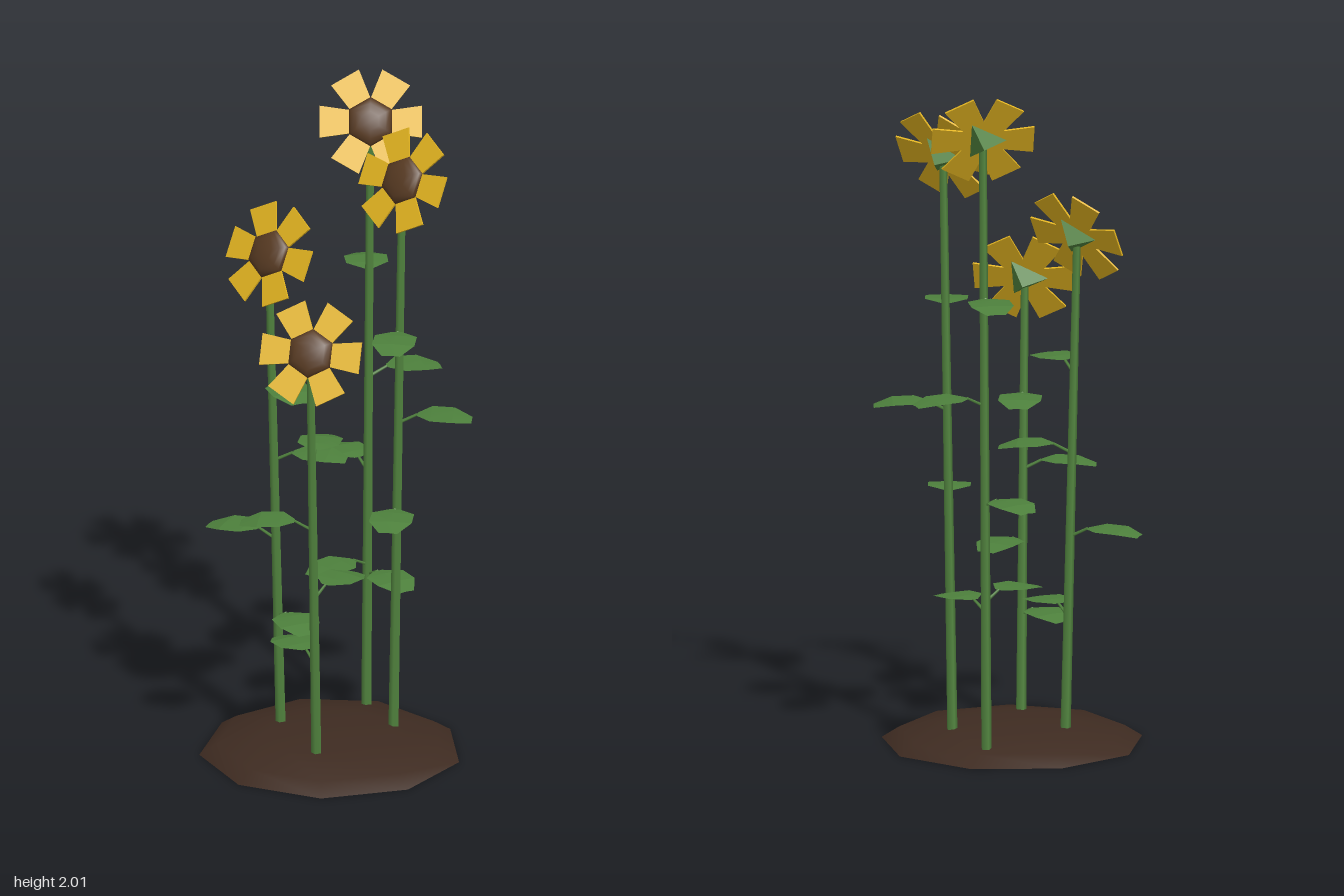
import * as THREE from 'three';
import { toCreasedNormals } from 'three/addons/utils/BufferGeometryUtils.js';

const material = (name, color, extra = {}) =>
  Object.assign(new THREE.MeshStandardMaterial({ color, ...extra }), { name });
const soil = material('soil brown', 0x3e2b21);
const seed = material('seed brown', 0x573a22);
const gold = material('petal gold', 0xe3b420);
const green = material('stem green', 0x52853f);
const leafGreen = material('leaf green', 0x4d803c, { side: THREE.DoubleSide });

function add(parent, name, geometry, mat) {
  const mesh = new THREE.Mesh(geometry, mat);
  mesh.name = name;
  parent.add(mesh);
  return mesh;
}

// Tapered rod between two points
function rod(parent, name, from, to, r0, r1, sides) {
  const dir = to.clone().sub(from);
  const mesh = add(parent, name, new THREE.CylinderGeometry(r1, r0, dir.length(), sides), green);
  mesh.position.copy(from).add(to).multiplyScalar(0.5);
  mesh.quaternion.setFromUnitVectors(new THREE.Vector3(0, 1, 0), dir.normalize());
}

// Leaf blade along +x: rows of [distance, half width, midrib height, edge height]
function bladeGeometry() {
  const rows = [[0, 0.014, 0, 0], [0.04, 0.062, 0.005, 0.003], [0.105, 0.063, 0.003, 0], [0.16, 0.027, -0.012, -0.014]];
  const points = [], index = [];
  rows.forEach(([x, w, mid, edge], i) => {
    points.push(x, edge, -w, x, mid, 0, x, edge, w);
    if (i === 0) return;
    for (let j = 0; j < 2; j++) {
      const a = (i - 1) * 3 + j, b = a + 3;
      index.push(a, a + 1, b, a + 1, b + 1, b);
    }
  });
  const geometry = new THREE.BufferGeometry();
  geometry.setAttribute('position', new THREE.Float32BufferAttribute(points, 3));
  geometry.setIndex(index);
  return toCreasedNormals(geometry, 0.15);
}

// Shared parts of a flower head, facing +z
const blade = bladeGeometry();
const disc = new THREE.SphereGeometry(0.073, 6, 4, 0, Math.PI * 2, 0, Math.PI / 2)
  .rotateX(Math.PI / 2).rotateZ(Math.PI / 6).scale(1, 1, 0.4);
const calyx = toCreasedNormals(
  new THREE.ConeGeometry(0.07, 0.045, 3).rotateX(-Math.PI / 2).rotateZ(Math.PI / 2).translate(0, 0, -0.028), 0.1);
const petal = new THREE.ExtrudeGeometry(new THREE.Shape([
  new THREE.Vector2(0, -0.026), new THREE.Vector2(0.15, -0.047),
  new THREE.Vector2(0.15, 0.047), new THREE.Vector2(0, 0.026)]),
{ depth: 0.006, bevelEnabled: false }).translate(0, 0, -0.005);

function makeHead(yaw) {
  const head = new THREE.Group();
  head.name = 'flowerHead';
  head.rotation.set(-0.47, yaw, 0, 'YXZ');
  add(head, 'seedDisc', disc, seed);
  add(head, 'calyx', calyx, green);
  for (let i = 0; i < 6; i++) {
    add(head, 'petal', petal, gold).rotation.z = i * Math.PI / 3;
  }
  return head;
}

// Leaf with its short stalk, pointing toward (x, z)
function addLeaf(plant, base, top, [y, x, z, stalk = 0.055]) {
  const root = base.clone().lerp(top, (y - 0.03 - base.y) / (top.y - base.y));
  const angle = Math.atan2(-(z - root.z), x - root.x);
  const start = root.clone().add(new THREE.Vector3(Math.cos(angle) * stalk, 0.028, -Math.sin(angle) * stalk));
  rod(plant, 'leafStalk', root, start, 0.005, 0.004, 4);
  const mesh = add(plant, 'leaf', blade, leafGreen);
  mesh.position.copy(start);
  mesh.rotation.y = angle;
}

// Each plant: stem base and top, head yaw, leaves as [height, toward x, toward z, stalk length]
const plants = [
  { base: [0.036, 0.03, -0.235], top: [0.045, 1.87, -0.245], yaw: 0.25,
    leaves: [[0.48, 0.17, -0.11], [0.51, -0.08, -0.075], [0.8, -0.11, -0.39], [1.1, 0.22, -0.34], [1.4, -0.025, -0.43, 0.03]] },
  { base: [0.163, 0.03, -0.058], top: [0.192, 1.775, -0.048], yaw: -0.44,
    leaves: [[0.76, 0.2, 0.15], [1.04, 0.39, -0.09], [1.32, 0.21, 0.16]] },
  { base: [-0.163, 0.03, -0.003], top: [-0.195, 1.53, 0.015], yaw: -0.47,
    leaves: [[0.42, -0.04, 0.17], [0.66, -0.39, -0.03], [0.91, 0.04, -0.01], [1.15, -0.06, 0.18]] },
  { base: [0, 0.03, 0.213], top: [0, 1.34, 0.287], yaw: 0,
    leaves: [[0.37, -0.15, 0.07], [0.58, 0.085, 0.03], [0.8, -0.21, 0.28], [1.01, -0.015, 0.055]] },
];

export function createModel() {
  const model = new THREE.Group();
  model.name = 'sunflowers';

  // Nine-sided soil mound
  const profile = [new THREE.Vector2(0, 0)];
  for (let i = 0; i <= 3; i++) {
    const a = i * Math.PI / 6;
    profile.push(new THREE.Vector2(i === 3 ? 0 : 0.387 * Math.cos(a), 0.066 * Math.sin(a)));
  }
  const mound = toCreasedNormals(new THREE.LatheGeometry(profile, 9).rotateY(Math.PI / 2), 0.7);
  add(model, 'soilMound', mound, soil).position.z = 0.046;

  for (const p of plants) {
    const plant = new THREE.Group();
    plant.name = 'sunflower';
    const base = new THREE.Vector3(...p.base), top = new THREE.Vector3(...p.top);
    rod(plant, 'stem', base, top, 0.016, 0.012, 5);
    const head = makeHead(p.yaw);
    head.position.copy(top);
    plant.add(head);
    for (const leaf of p.leaves) addLeaf(plant, base, top, leaf);
    model.add(plant);
  }
  return model;
}
